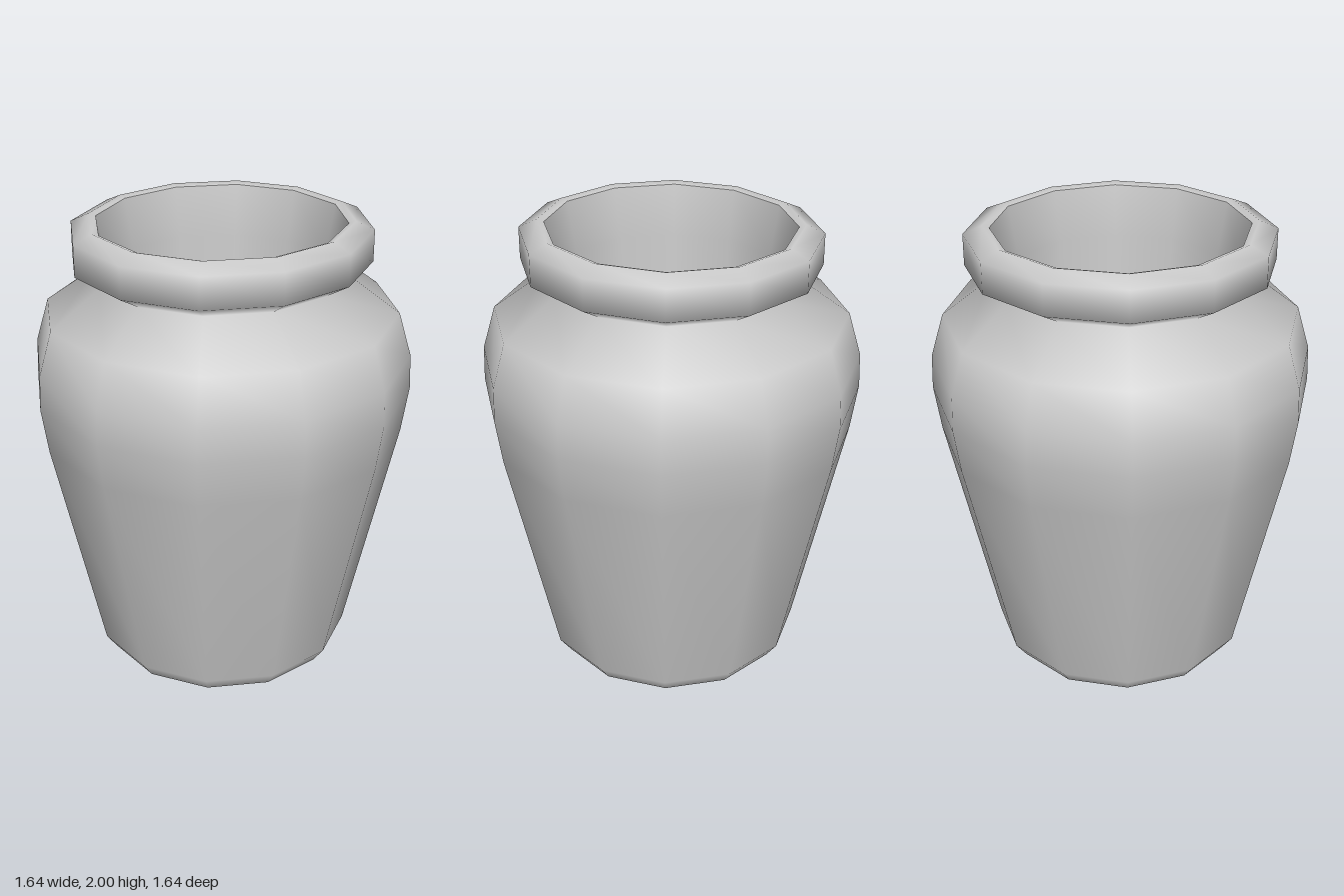
import * as THREE from 'three';

const SIDES = 12;

// Turned surface; the neck and rim are slightly narrower across x than z
function turned(name, profile, material) {
  const geometry = new THREE.LatheGeometry(profile.map(([r, y]) => new THREE.Vector2(r, y)), SIDES);
  const pos = geometry.attributes.position;
  for (let i = 0; i < pos.count; i++) {
    if (pos.getY(i) > 1.7) pos.setX(i, pos.getX(i) * 0.965);
  }
  const mesh = new THREE.Mesh(geometry, material);
  mesh.name = name;
  return mesh;
}

export function createModel() {
  const group = new THREE.Group();
  group.name = 'jar';
  const material = new THREE.MeshStandardMaterial({ color: 0xcccccc });

  // Tapered body, shoulder, pinched neck and thick rolled rim
  group.add(turned('bodyAndRim', [
    [0.525, 0], [0.575, 0.07], [0.79, 1.07], [0.818, 1.27], [0.812, 1.42], [0.755, 1.61],
    [0.545, 1.77], [0.65, 1.83], [0.65, 1.965], [0.57, 2], [0.54, 1.99],
  ], material));

  // Hollow interior, tapering to a rounded floor
  group.add(turned('interior', [
    [0.54, 1.99], [0.5, 1.77], [0.47, 0.9], [0.42, 0.5], [0.25, 0.36], [0, 0.32],
  ], material));

  // Flat underside
  group.add(turned('base', [[0, 0], [0.525, 0]], material));

  return group;
}
